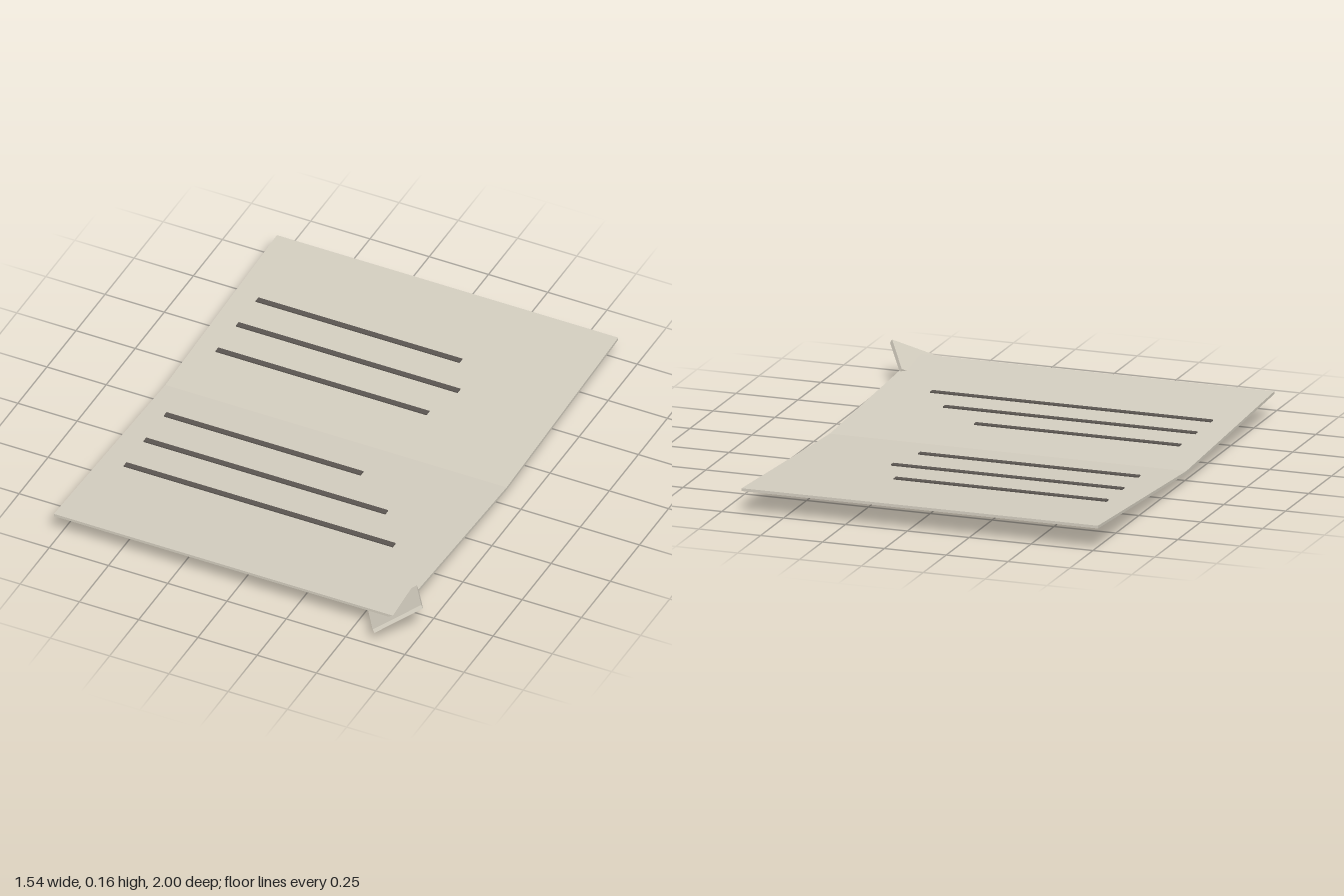
import * as THREE from 'three';

export function createModel() {
  const group = new THREE.Group();
  const paper = new THREE.MeshStandardMaterial({ name: 'paper', color: 0xd2ccbe });
  const ink = new THREE.MeshStandardMaterial({ name: 'ink', color: 0x5a5550 });

  const add = (name, geometry, material, x, y, z) => {
    const mesh = new THREE.Mesh(geometry, material);
    mesh.name = name;
    mesh.position.set(x, y, z);
    group.add(mesh);
    return mesh;
  };

  // Creased sheet: a shallow V profile (drawn as -z, y) extruded across x
  const left = -0.77, width = 1.44, thick = 0.011;
  const foldZ = -0.04, foldY = 0.04, endY = 0.09;
  const profile = new THREE.Shape([
    [-0.92, endY], [-foldZ, foldY], [1, endY],
    [1, endY + thick], [-foldZ, foldY + thick], [-0.92, endY + thick],
  ].map(([a, y]) => new THREE.Vector2(a, y)));
  const sheet = new THREE.ExtrudeGeometry(profile, { depth: width, bevelEnabled: false });
  sheet.rotateY(Math.PI / 2);
  add('foldedSheet', sheet, paper, left, 0, 0);

  // Level text lines: z position and right end
  const lineStart = -0.67;
  [[-0.625, 0.19], [-0.455, 0.265], [-0.28, 0.22],
    [0.165, 0.16], [0.34, 0.35], [0.51, 0.465]].forEach(([z, end], i) => {
    const length = end - lineStart;
    add(`writtenLine${i + 1}`, new THREE.BoxGeometry(length, 0.005, 0.024), ink,
      lineStart + length / 2, 0.087, z);
  });

  // Turned-up corner: a tilted square crossing the sheet
  const corner = add('curledCorner', new THREE.BoxGeometry(0.207, 0.016, 0.207), paper, 0.64, 0.08, 0.855);
  corner.rotation.set(0, 0.61, Math.PI / 6, 'ZYX');

  return group;
}
